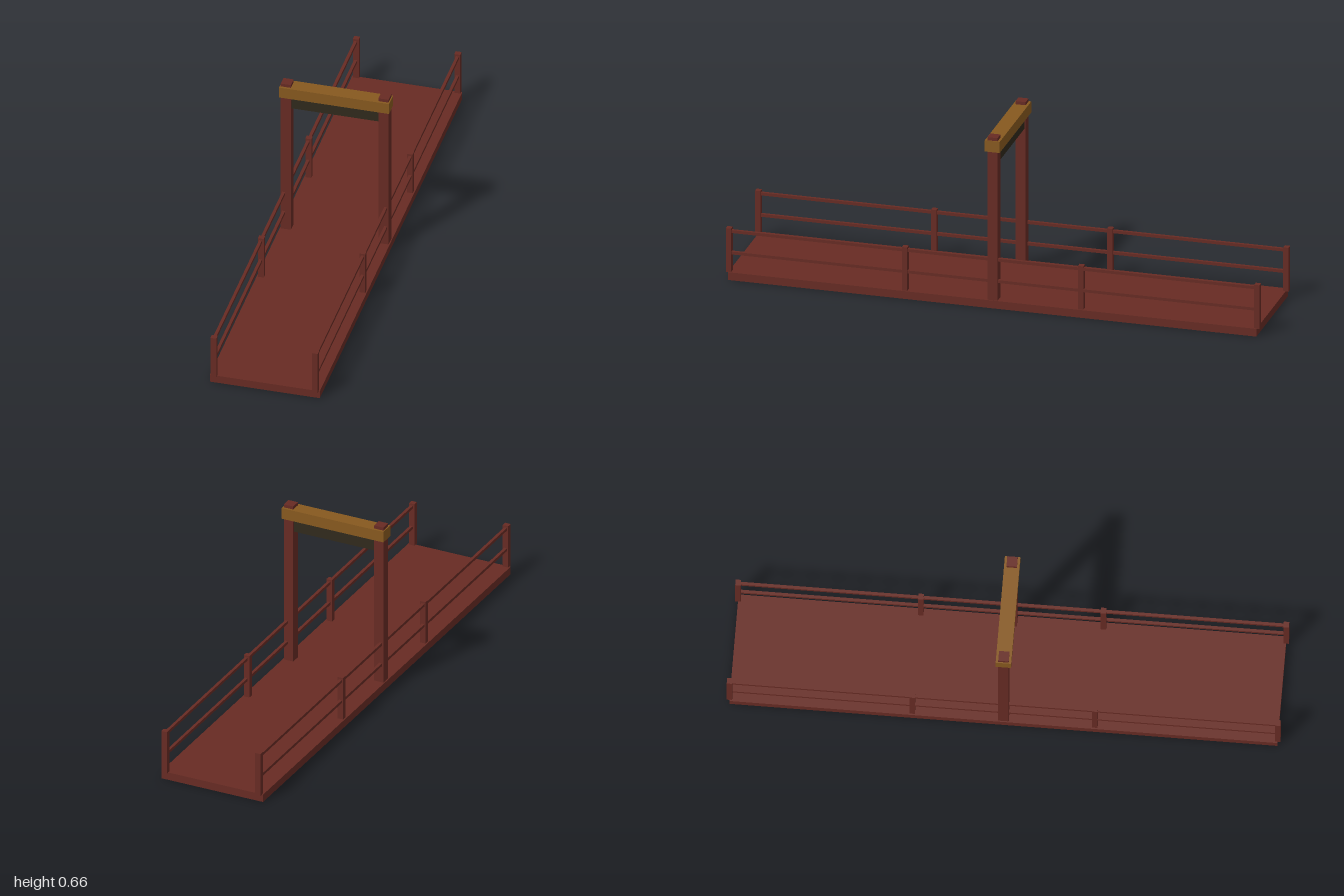
import * as THREE from 'three';

export function createModel() {
  const model = new THREE.Group();
  model.name = 'footbridge';

  const material = (name, color) => {
    const m = new THREE.MeshStandardMaterial({ color });
    m.name = name;
    return m;
  };
  const red = material('red wood', 0x672b23);
  const gold = material('golden wood', 0x87591f);
  const dark = material('dark wood', 0x30291c);

  // Box given by its size and centre
  const box = (name, mat, [w, h, d], [x, y, z], parent = model) => {
    const mesh = new THREE.Mesh(new THREE.BoxGeometry(w, h, d), mat);
    mesh.name = name;
    mesh.position.set(x, y, z);
    parent.add(mesh);
    return mesh;
  };

  // Deck, with a dark underside (box face 3 points down)
  box('deck', [red, red, red, dark, red, red], [0.41, 0.03, 1.98], [0, 0.015, 0]);

  // Railings: four posts and two rails on each side
  for (const side of [-1, 1]) {
    const railing = new THREE.Group();
    railing.name = side > 0 ? 'leftRailing' : 'rightRailing';
    for (const z of [-0.99, -0.33, 0.33, 0.99]) {
      box('railingPost', red, [0.022, 0.17, 0.02], [side * 0.189, 0.113, z], railing);
    }
    for (const y of [0.102, 0.185]) {
      box('rail', red, [0.011, 0.011, 1.98], [side * 0.19, y, 0], railing);
    }
    model.add(railing);
  }

  // Gate in the middle: pillars, crossbeam and lintel panel
  const gate = new THREE.Group();
  gate.name = 'gate';
  for (const side of [-1, 1]) {
    box('gatePillar', red, [0.038, 0.63, 0.038], [side * 0.182, 0.345, 0], gate);
  }
  box('crossbeam', gold, [0.41, 0.043, 0.056], [0, 0.6265, 0], gate);
  box('lintelPanel', dark, [0.33, 0.05, 0.028], [0, 0.581, 0], gate);
  model.add(gate);

  return model;
}
